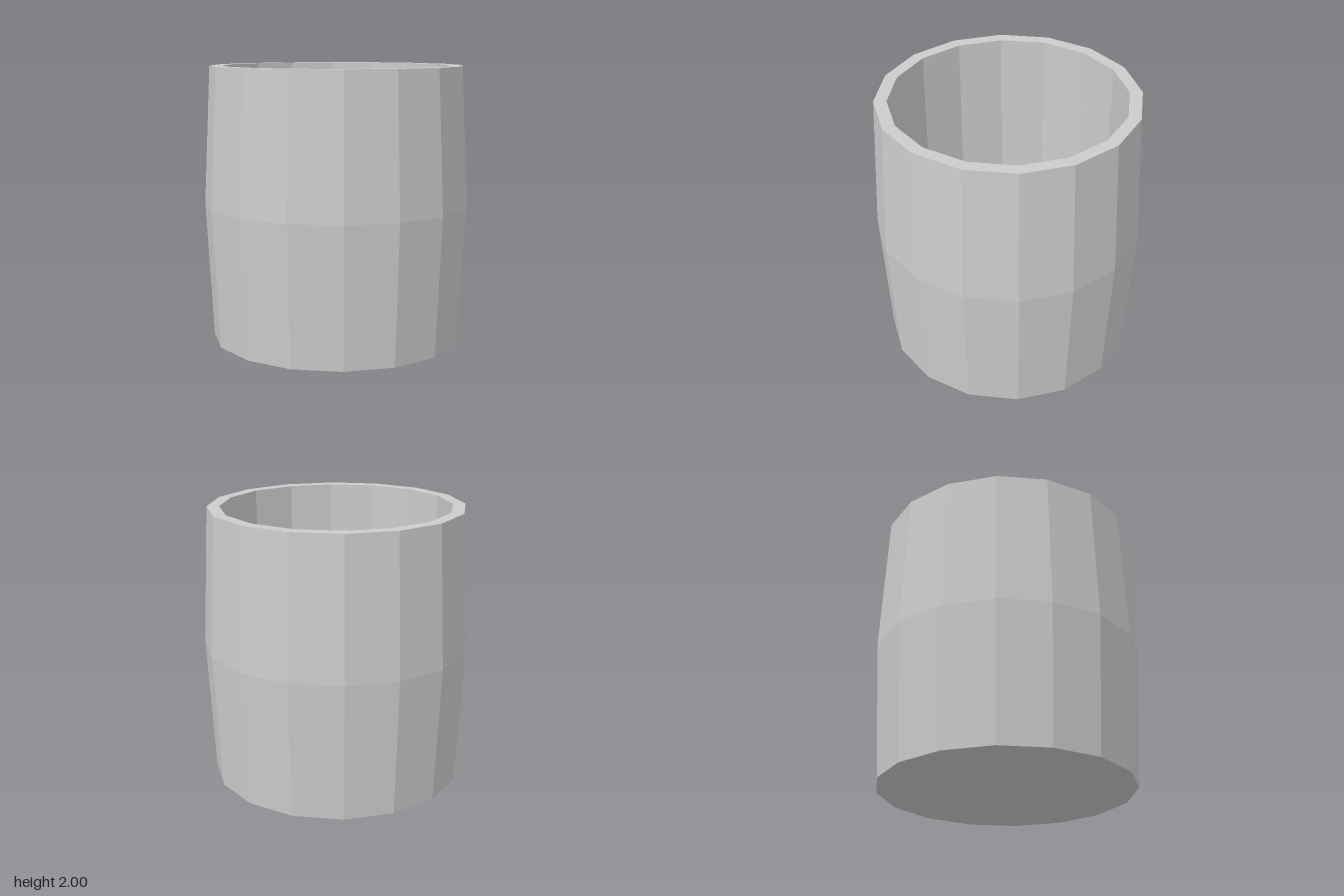
import * as THREE from 'three';

const SIDES = 16;

export function createModel() {
  const model = new THREE.Group();
  model.name = 'barrel';
  const material = new THREE.MeshStandardMaterial({ color: 0xcccccc, flatShading: true });

  // Revolve a profile of [radius, height] pairs into a faceted part
  const lathe = (name, profile) => {
    const points = profile.map(([r, y]) => new THREE.Vector2(r, y));
    const mesh = new THREE.Mesh(new THREE.LatheGeometry(points, SIDES), material);
    mesh.name = name;
    model.add(mesh);
  };

  // Flat 16-sided disc, facing up or down, with corners aligned to the walls
  const disc = (name, radius, y, facing) => {
    const mesh = new THREE.Mesh(new THREE.CircleGeometry(radius, SIDES), material);
    mesh.name = name;
    mesh.rotation.x = -facing * Math.PI / 2;
    mesh.position.y = y;
    model.add(mesh);
  };

  // Bulging outer wall, widest at mid height
  lathe('outerWall', [[0.92, 0], [0.97, 1], [0.92, 2]]);
  // Flat rim around the opening
  lathe('rim', [[0.92, 2], [0.83, 2]]);
  // Straight hollow inside
  lathe('innerWall', [[0.83, 2], [0.83, 0.08]]);
  disc('innerFloor', 0.83, 0.08, 1);
  disc('base', 0.92, 0, -1);

  return model;
}
